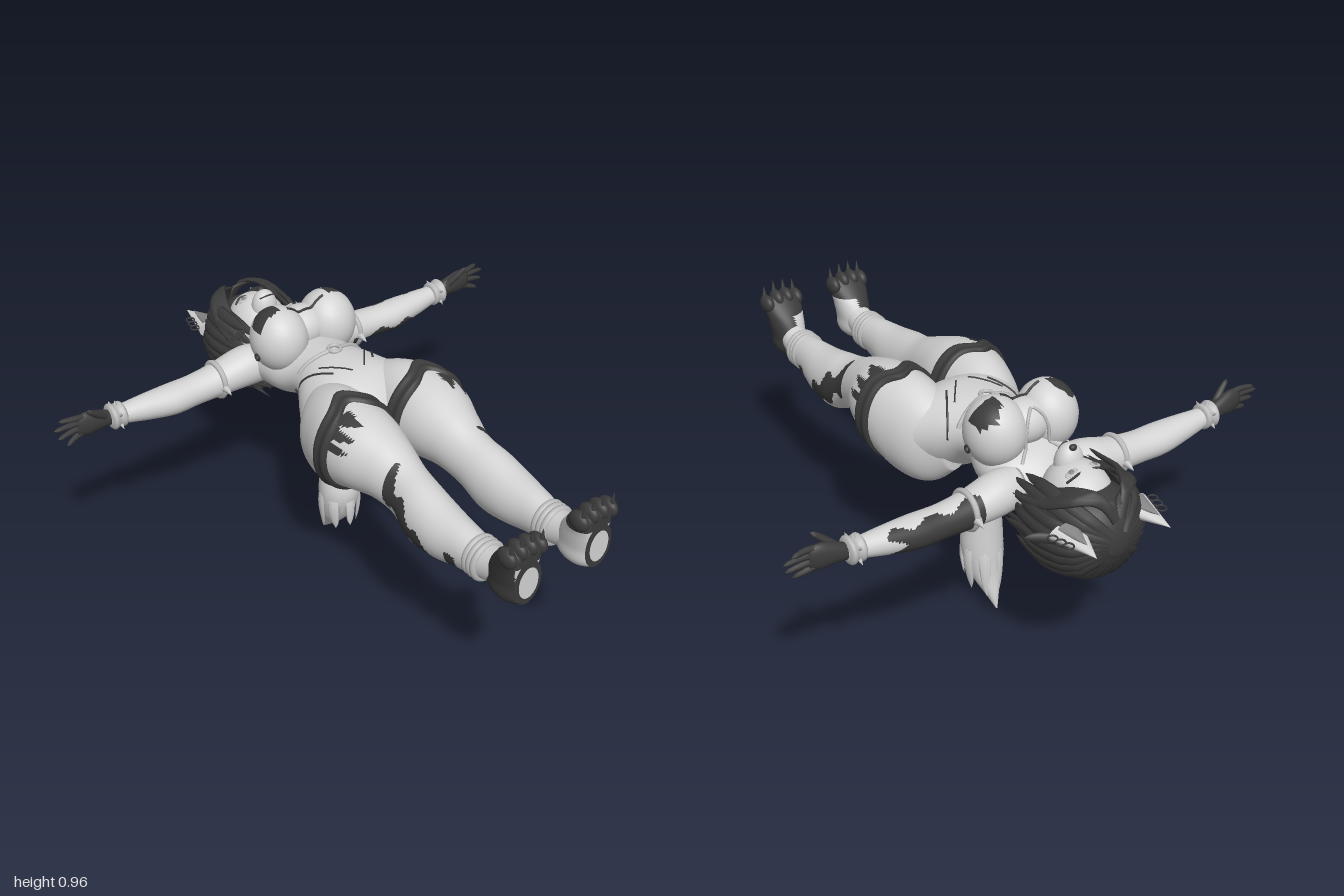
import * as THREE from 'three';

const mat = (name, color) => Object.assign(new THREE.MeshStandardMaterial({ color }), { name });
const V = (x, y, z) => new THREE.Vector3(x, y, z);

export function createModel() {
  const root = new THREE.Group();
  root.name = 'recliningFigure';
  const fur = mat('lightFur', 0xd3d3d3), dark = mat('darkFur', 0x3b3b3b);
  const cloth = mat('greyCloth', 0xbcbcbc), mid = mat('midGrey', 0x858585);

  const add = (name, geo, material) => {
    const m = new THREE.Mesh(geo, material);
    m.name = name;
    root.add(m);
    return m;
  };

  // Indexed mesh from equal rings of points, rings ordered along the axis
  const skin = (rings) => {
    const n = rings[0].length, idx = [];
    for (let i = 0; i < rings.length - 1; i++) for (let j = 0; j < n; j++) {
      const a = i * n + j, b = i * n + (j + 1) % n;
      idx.push(a, b, a + n, b, b + n, a + n);
    }
    const g = new THREE.BufferGeometry().setFromPoints(rings.flat());
    g.setIndex(idx);
    g.computeVertexNormals();
    return g;
  };

  // Smooth elliptical loft; section = [t, u, v, ru, rv] on axis x (y,z), y (z,x) or z (x,y)
  const place = { x: (t, u, v) => V(t, u, v), y: (t, u, v) => V(v, t, u), z: (t, u, v) => V(u, v, t) };
  const curveOf = (secs) => {
    const s = [...secs].sort((a, b) => a[0] - b[0]);
    return { t0: s[0][0], t1: s[s.length - 1][0],
      it: new THREE.CubicInterpolant(s.map(q => q[0]), s.flatMap(q => q.slice(1)), 4, new Float32Array(4)) };
  };
  const loft = (axis, secs, steps = 24, seg = 28, warp = p => p) => {
    const { t0, t1, it } = curveOf(secs), rings = [];
    for (let i = -1; i <= steps + 1; i++) {
      const t = t0 + (t1 - t0) * Math.min(Math.max(i / steps, 0), 1);
      const [u, v, ru, rv] = it.evaluate(t), k = i < 0 || i > steps ? 0 : 1;
      rings.push(Array.from({ length: seg }, (_, j) => {
        const a = j / seg * Math.PI * 2;
        return warp(place[axis](t, u + k * ru * Math.cos(a), v + k * rv * Math.sin(a)));
      }));
    }
    return skin(rings);
  };

  // Tapered strand along a curve, flattened away from a centre point
  const sweep = (pts, w, th, profile, centre, steps = 9, seg = 7) => {
    const c = new THREE.CatmullRomCurve3(pts), rings = [];
    for (let i = 0; i <= steps; i++) {
      const u = i / steps, p = c.getPoint(u), t = c.getTangent(u), k = profile(u);
      const n = p.clone().sub(centre);
      n.addScaledVector(t, -n.dot(t)).normalize();
      const b = t.clone().cross(n);
      rings.push(Array.from({ length: seg }, (_, j) => {
        const a = j / seg * Math.PI * 2;
        return p.clone().addScaledVector(n, th * k * Math.cos(a)).addScaledVector(b, w * k * Math.sin(a));
      }));
    }
    return skin(rings);
  };
  const lockShape = u => Math.max(0.01, Math.pow(1 - u, 0.6) * (0.55 + 0.9 * u));
  const fingerShape = u => u > 0.99 ? 0.05 : 1 - 0.45 * u * u;

  // Sort faces into two colour groups by a rule on the face centre
  const paint = (g, isDark) => {
    const ix = g.index.array, p = g.attributes.position, out = [[], []];
    for (let i = 0; i < ix.length; i += 3) {
      const f = [ix[i], ix[i + 1], ix[i + 2]];
      const mean = k => f.reduce((s, q) => s + p.getComponent(q, k), 0) / 3;
      out[isDark(mean(0), mean(1), mean(2)) ? 1 : 0].push(...f);
    }
    g.setIndex([...out[0], ...out[1]]);
    g.addGroup(0, out[0].length, 0);
    g.addGroup(out[0].length, out[1].length, 1);
    return g;
  };
  const ball = (x, y, z, rx, ry, rz) => new THREE.SphereGeometry(1, 28, 20).scale(rx, ry, rz).translate(x, y, z);
  const cone = (r, h, from, dir) => new THREE.ConeGeometry(r, h, 12).translate(0, h / 2, 0)
    .applyQuaternion(new THREE.Quaternion().setFromUnitVectors(V(0, 1, 0), dir.clone().normalize()))
    .translate(from.x, from.y, from.z);
  const tube = (pts, r) => new THREE.TubeGeometry(new THREE.CatmullRomCurve3(pts), 30, r, 6);

  // Torso, chest and neck
  const solid = [];
  solid.push(add('torso', loft('z', [[-0.62, 0, 0.69, 0.06, 0.06], [-0.57, 0, 0.69, 0.10, 0.08],
    [-0.52, 0, 0.70, 0.165, 0.10], [-0.45, 0, 0.715, 0.17, 0.11], [-0.38, 0, 0.725, 0.165, 0.115],
    [-0.30, 0, 0.74, 0.14, 0.108], [-0.24, 0, 0.74, 0.148, 0.115], [-0.15, 0, 0.71, 0.20, 0.15],
    [-0.05, 0, 0.685, 0.245, 0.165], [0.03, 0, 0.67, 0.19, 0.14], [0.08, 0, 0.68, 0.05, 0.08]], 40, 36), fur));
  add('neck', loft('z', [[-0.70, 0, 0.70, 0.055, 0.055], [-0.6, 0, 0.695, 0.058, 0.06], [-0.54, 0, 0.7, 0.08, 0.07]], 8), fur);
  add('choker', new THREE.TorusGeometry(0.062, 0.009, 8, 28).translate(0, 0.697, -0.62), dark);
  solid.push(add('chestTop', ball(0, 0.86, -0.42, 0.10, 0.08, 0.085), fur));
  for (const s of [-1, 1]) {
    solid.push(add('chestCup', paint(ball(s * 0.105, 0.85, -0.41, 0.105, 0.122, 0.112), (x, y, z) =>
      y > 0.84 && Math.abs(Math.abs(x) - 0.15) < 0.045 && z > -0.485 + Math.abs(Math.abs(x) - 0.15) * 0.8 && z < -0.395), [fur, dark]));
  }

  // Legs, feet and thigh bands
  for (const s of [-1, 1]) {
    const legSecs = [[-0.18, 0.10, 0.68, 0.05, 0.10], [-0.1, 0.125, 0.665, 0.11, 0.16], [0, 0.143, 0.677, 0.135, 0.185],
      [0.1, 0.153, 0.70, 0.145, 0.168], [0.2, 0.153, 0.71, 0.135, 0.143], [0.3, 0.145, 0.70, 0.105, 0.118],
      [0.4, 0.142, 0.67, 0.085, 0.105], [0.5, 0.15, 0.638, 0.09, 0.115], [0.6, 0.152, 0.63, 0.085, 0.1],
      [0.7, 0.15, 0.635, 0.068, 0.083], [0.8, 0.147, 0.64, 0.058, 0.065], [0.88, 0.148, 0.66, 0.05, 0.06]]
      .map(q => [q[0], s * q[1], ...q.slice(2)]);
    const legPaint = (x, y, z) => {
      const ax = Math.abs(x);
      const fringe = z > 0.13 && z < 0.19 + 0.04 * Math.sin(y * 150) && y > 0.75 && ax > 0.19;
      const calf = z > 0.37 && z < 0.61 && ax > 0.145 && Math.abs(y - 0.625 + 0.75 * (z - 0.49)) < 0.05 + 0.02 * Math.sin(z * 70);
      const spot = z > 0.68 && z < 0.72 && y < 0.63 && ax > 0.16;
      return fringe || calf || spot;
    };
    solid.push(add('leg', paint(loft('z', legSecs, 110, 64), legPaint), [fur, dark]));

    const { it } = curveOf(legSecs);
    const band = [[0.074, -0.004], [0.078, 0.007], [0.11, 0.008], [0.146, 0.007], [0.15, -0.004]].map(([t, d]) => {
      const [u, v, ru, rv] = it.evaluate(t);
      return [t, u, v, ru + d, rv + d];
    });
    add('thighBand', loft('z', band, 12, 56, p => {
      if (p.y > 0.72) p.z -= 0.045 * Math.exp(-(((Math.abs(p.x) - 0.17) / 0.05) ** 2)) * (p.y - 0.72) / 0.15;
      return p;
    }), dark);

    for (const z of [0.765, 0.785, 0.805]) {
      add('ankleCuff', new THREE.TorusGeometry(0.058, 0.013, 10, 32).scale(1, 1.08, 1).translate(s * 0.147, 0.64, z), cloth);
    }
    add('foot', paint(loft('y', [[0.572, 0.92, s * 0.148, 0.03, 0.025], [0.6, 0.915, s * 0.148, 0.078, 0.052],
      [0.66, 0.915, s * 0.148, 0.085, 0.06], [0.72, 0.93, s * 0.148, 0.075, 0.068], [0.78, 0.952, s * 0.148, 0.048, 0.072],
      [0.81, 0.955, s * 0.148, 0.02, 0.05]], 30, 40, p => { p.z = Math.min(p.z, 0.99); return p; }),
      (x, y, z) => y > 0.745 || (Math.abs(x) > 0.143 && z < 0.985 && z > 0.83)), [fur, dark]);
    add('soleRim', new THREE.CircleGeometry(1, 32).scale(0.056, 0.085, 1).translate(s * 0.148, 0.68, 0.993), dark);
    add('solePad', new THREE.CircleGeometry(1, 32).scale(0.04, 0.06, 1).translate(s * 0.148, 0.68, 0.997), fur);
    for (let i = 0; i < 4; i++) {
      const x = s * 0.148 + (i - 1.5) * 0.041, y = 0.785 + (i % 3 ? 0.012 : 0);
      add('toe', ball(x, y, 0.958, 0.023, 0.035, 0.041), dark);
      add('claw', cone(0.012, 0.055, V(x, y + 0.015, 0.975), V(0, 1, 0.1)), dark);
    }
  }

  // Arms, cuffs and hands
  for (const s of [-1, 1]) {
    const arm = [[0.1, 0.70, -0.52, 0.07, 0.07], [0.18, 0.70, -0.53, 0.075, 0.075], [0.3, 0.685, -0.535, 0.062, 0.066],
      [0.4, 0.678, -0.535, 0.056, 0.06], [0.5, 0.677, -0.533, 0.056, 0.062], [0.6, 0.685, -0.533, 0.048, 0.05],
      [0.7, 0.695, -0.533, 0.035, 0.036], [0.75, 0.70, -0.533, 0.03, 0.03]].map(q => [s * q[0], ...q.slice(1)]);
    add('arm', paint(loft('x', arm, 60, 40), (x, y, z) => x > 0.27 && x < 0.59 + 0.03 * Math.sin(y * 90)
      && (y < 0.665 + 0.012 * Math.sin(x * 50) || z < -0.562 + 0.012 * Math.sin(x * 45))), [fur, dark]);
    add('armBand', new THREE.TorusGeometry(0.064, 0.011, 8, 32).rotateY(Math.PI / 2).translate(s * 0.305, 0.685, -0.535), cloth);
    for (const d of [-1, 1]) add('armSpike', cone(0.016, 0.04, V(s * 0.305, 0.68, -0.535 + d * 0.066), V(0, -0.3, d)), cloth);
    add('wristCuff', loft('x', [[0.69, 0.698, -0.533, 0.035, 0.035], [0.695, 0.698, -0.533, 0.044, 0.044],
      [0.72, 0.698, -0.533, 0.042, 0.042], [0.745, 0.7, -0.533, 0.044, 0.044], [0.75, 0.7, -0.533, 0.03, 0.03]]
      .map(q => [s * q[0], ...q.slice(1)]), 12), cloth);
    for (let i = 0; i < 6; i++) {
      const d = V(0, Math.cos(i * Math.PI / 3), Math.sin(i * Math.PI / 3));
      add('wristStud', cone(0.008, 0.022, V(s * 0.72, 0.698, -0.533).addScaledVector(d, 0.04), d), cloth);
    }
    add('palm', loft('x', [[0.74, 0.70, -0.533, 0.028, 0.024], [0.79, 0.71, -0.53, 0.038, 0.026],
      [0.84, 0.715, -0.528, 0.046, 0.022], [0.875, 0.717, -0.526, 0.036, 0.014]].map(q => [s * q[0], ...q.slice(1)]), 12), dark);
    const tips = [[0.925, 0.662, -0.515], [0.952, 0.695, -0.522], [0.96, 0.728, -0.53], [0.935, 0.752, -0.54]];
    tips.forEach(([x, y, z], i) => add('finger', sweep([V(s * 0.83, 0.69 + i * 0.018, -0.527),
      V(s * (x + 0.83) / 2, (y + 0.69 + i * 0.018) / 2 + 0.003, -0.527), V(s * x, y, z)], 0.0125, 0.0125, fingerShape, V(0, 0, 5)), dark));
    add('thumb', sweep([V(s * 0.77, 0.72, -0.52), V(s * 0.81, 0.755, -0.505), V(s * 0.845, 0.785, -0.495)],
      0.014, 0.014, fingerShape, V(0, 0, 5)), dark);
  }

  // Straps draped over the body from above
  const ray = new THREE.Raycaster();
  const drape = (a, b, lift = 0.002, n = 14) => Array.from({ length: n + 1 }, (_, i) => {
    const x = a[0] + (b[0] - a[0]) * i / n, z = a[1] + (b[1] - a[1]) * i / n;
    ray.set(V(x, 3, z), V(0, -1, 0));
    const hit = ray.intersectObjects(solid, false)[0];
    return V(x, (hit ? hit.point.y : 0.75) + lift, z);
  });
  root.updateMatrixWorld(true);
  add('chestStrap', tube(drape([-0.08, -0.395], [0.08, -0.395]), 0.005), dark);
  for (const s of [-1, 1]) {
    add('neckline', tube(drape([s * 0.085, -0.535], [s * 0.004, -0.465]), 0.006), cloth);
    add('beltStrap', tube(drape([s * 0.135, -0.245], [s * 0.02, -0.215]), 0.009), cloth);
    add('hipStrap', tube(drape([s * 0.165, -0.225], [s * 0.085, -0.1]), 0.004), dark);
    add('hipStrap', tube(drape([s * 0.10, -0.17], [s * 0.025, -0.07]), 0.003), dark);
    add('sideRing', new THREE.TorusGeometry(0.012, 0.004, 6, 16).rotateY(Math.PI / 2).translate(s * 0.207, 0.81, -0.4), dark);
  }
  add('beltBuckle', new THREE.TorusGeometry(0.022, 0.007, 8, 24).rotateX(Math.PI / 2).translate(0, 0.862, -0.215), cloth);

  // Head and face
  const headMid = V(0, 0.67, -0.77);
  add('face', ball(0, 0.73, -0.715, 0.11, 0.12, 0.13), fur);
  add('muzzle', ball(0, 0.825, -0.665, 0.05, 0.07, 0.045), fur);
  add('nose', ball(0, 0.887, -0.683, 0.014, 0.012, 0.011), dark);
  add('mouth', tube([V(-0.03, 0.874, -0.648), V(0, 0.884, -0.638), V(0.03, 0.874, -0.648)], 0.003), dark);
  for (const s of [-1, 1]) {
    const eye = (r, k) => new THREE.SphereGeometry(1, 20, 10).scale(r, 0.004, r * k).rotateZ(-s * 0.38).rotateX(-0.15);
    add('eyeWhite', eye(0.024, 0.55).translate(s * 0.047, 0.837, -0.738), cloth);
    add('iris', eye(0.01, 1).translate(s * 0.046, 0.84, -0.737), mid);
    add('brow', tube([V(s * 0.022, 0.838, -0.752), V(s * 0.047, 0.836, -0.759), V(s * 0.075, 0.816, -0.75)], 0.004), dark);
    // Ears with darker hollows and rings
    const ear = (r, h) => new THREE.ConeGeometry(r, h, 20).scale(1, 1, 0.55).rotateX(-Math.PI / 2).rotateY(-s * 0.08);
    add('ear', ear(0.062, 0.17).translate(s * 0.14, 0.705, -0.915), fur);
    add('earHollow', ear(0.038, 0.11).translate(s * 0.14, 0.724, -0.895), mid);
    for (let i = 0; i < 3; i++) {
      add('earRing', new THREE.TorusGeometry(0.016, 0.003, 6, 18).rotateX(Math.PI / 2).translate(s * (0.185 + i * 0.008), 0.715, -0.91 + i * 0.03), dark);
    }
  }

  // Hair: cap, two layers of long locks and a fringe
  add('hairCap', ball(0, 0.65, -0.785, 0.16, 0.155, 0.15), dark);
  const wob = i => Math.sin(i * 12.9898) * 0.5 + Math.sin(i * 4.1) * 0.5;
  for (let layer = 0; layer < 2; layer++) for (let i = 0; i < 22; i++) {
    const a = Math.PI * (0.5 + 0.23 + 1.54 * i / 21), w = wob(i + layer * 31);
    const at = (r, z) => V(Math.cos(a + w * 0.1) * r, 0.66 + Math.sin(a) * r, z);
    const r = 0.165 + layer * 0.014, back = Math.max(0, -Math.sin(a));
    add('hairLock', sweep([at(0.04, -0.925), at(r * 0.82, -0.87), at(r + 0.008, -0.76), at(r + 0.008 * w, -0.66),
      at(r - 0.015 + 0.03 * w, -0.56 - layer * 0.07 + 0.035 * w + 0.03 * back)], 0.034, 0.015, lockShape, headMid), dark);
  }
  for (const s of [-1, 1]) for (let i = 0; i < 6; i++) {
    const k = i / 5, w = wob(i * 3 + s);
    add('fringeLock', sweep([V(s * 0.01, 0.745 + 0.05 * k, -0.92 + 0.02 * k), V(s * (0.05 + 0.035 * k), 0.82, -0.885 + 0.02 * k),
      V(s * (0.09 + 0.04 * k), 0.825 - 0.02 * k, -0.82), V(s * (0.115 + 0.045 * k), 0.79 - 0.03 * k, -0.73),
      V(s * (0.12 + 0.05 * k + 0.01 * w), 0.77 - 0.03 * k, -0.62 + 0.04 * w)], 0.03, 0.014, lockShape, headMid), dark);
  }
  for (const [x, y, z] of [[0.04, 0.465, -0.76], [-0.06, 0.48, -0.7], [0.25, 0.69, -0.77], [-0.03, 0.5, -0.6]]) {
    add('strayLock', sweep([V(x * 0.5, 0.66 + (y - 0.66) * 0.6, -0.86), V(x * 0.8, 0.66 + (y - 0.66) * 0.85, (z - 0.82) / 2), V(x, y, z)],
      0.03, 0.016, lockShape, headMid), dark);
  }

  // Tail hanging down, with pointed tufts
  add('tail', loft('y', [[0.01, -0.297, 0, 0.003, 0.003], [0.06, -0.265, 0, 0.03, 0.024], [0.13, -0.225, 0, 0.058, 0.056],
    [0.25, -0.198, 0, 0.078, 0.078], [0.35, -0.208, 0, 0.064, 0.068], [0.45, -0.222, 0, 0.05, 0.054],
    [0.55, -0.24, 0, 0.04, 0.037], [0.68, -0.25, 0, 0.036, 0.03]], 32, 20), fur);
  for (let i = 0; i < 7; i++) {
    const a = i / 7 * Math.PI * 2, c = Math.cos(a), d = Math.sin(a);
    add('tailTuft', sweep([V(d * 0.05, 0.32, -0.2 + c * 0.045), V(d * 0.073, 0.22, -0.2 + c * 0.07),
      V(d * 0.06, 0.085 + 0.03 * c, -0.205 + c * 0.075)], 0.035, 0.014, lockShape, V(0, 0.2, -0.2)), fur);
  }
  return root;
}
